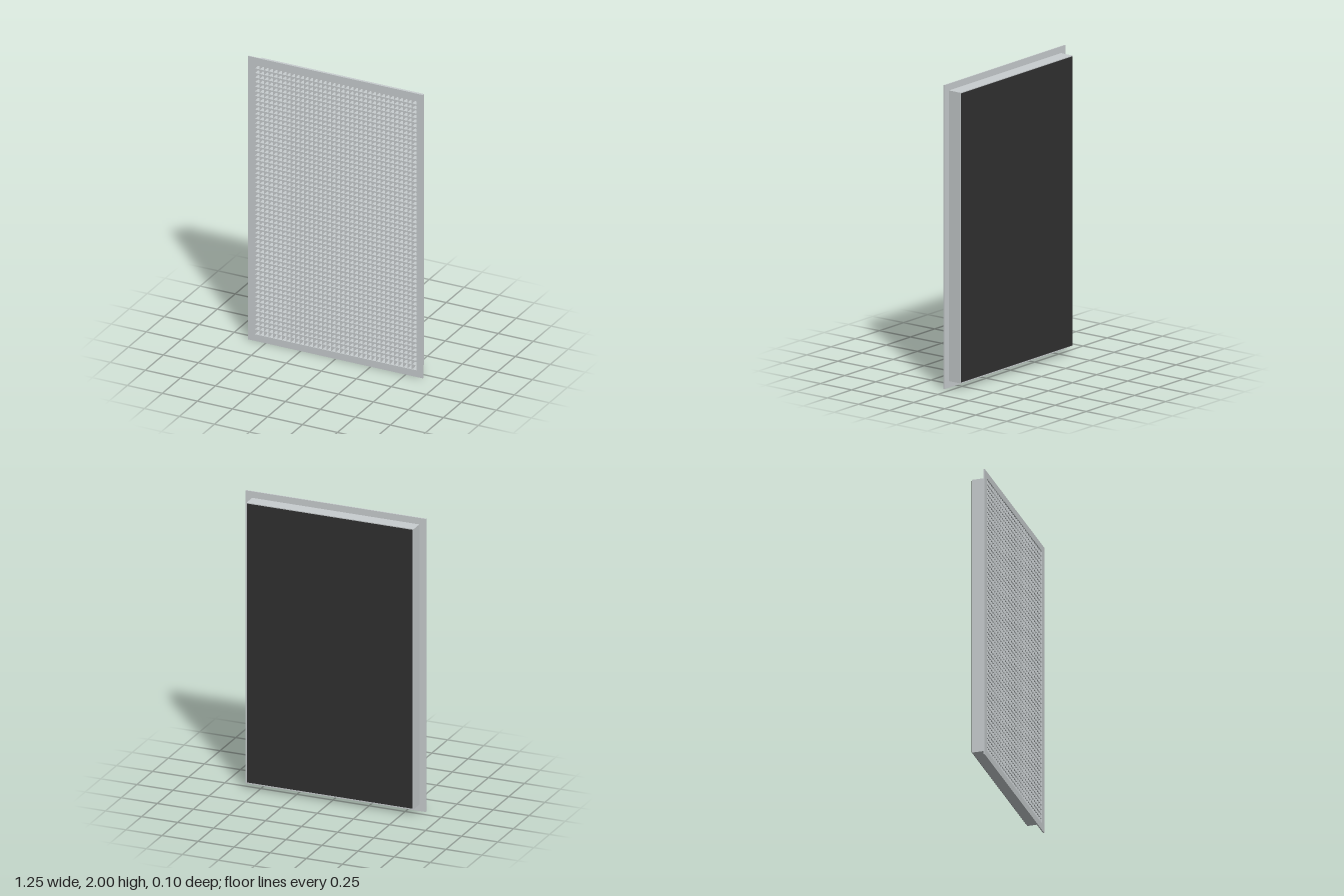
import * as THREE from 'three';

const metal = new THREE.MeshStandardMaterial({ color: 0xc8cdcf });
metal.name = 'light grey metal';
const black = new THREE.MeshStandardMaterial({ color: 0x303030 });
black.name = 'black backing';

// Rectangular ring extruded along z, centred on the panel
function ring(name, w, h, innerW, innerH, z0, z1) {
  const rect = (Type, a, b) => new Type([
    new THREE.Vector2(-a / 2, -b / 2), new THREE.Vector2(a / 2, -b / 2),
    new THREE.Vector2(a / 2, b / 2), new THREE.Vector2(-a / 2, b / 2),
  ]);
  const shape = rect(THREE.Shape, w, h);
  shape.holes.push(rect(THREE.Path, innerW, innerH));
  const geo = new THREE.ExtrudeGeometry(shape, { depth: z1 - z0, bevelEnabled: false });
  geo.translate(0, 1, z0);
  const mesh = new THREE.Mesh(geo, metal);
  mesh.name = name;
  return mesh;
}

function box(name, size, pos, material) {
  const mesh = new THREE.Mesh(new THREE.BoxGeometry(...size), material);
  mesh.position.set(...pos);
  mesh.name = name;
  return mesh;
}

export function createModel() {
  const model = new THREE.Group();
  model.name = 'eggCrateGrille';

  const W = 1.248, H = 2;             // flange
  const neckW = 1.158, neckH = 1.912; // duct neck
  const wall = 0.003;
  const inW = neckW - 2 * wall, inH = neckH - 2 * wall;

  // Front flange and the neck behind it
  model.add(ring('flange', W, H, inW, inH, 0.044, 0.0515));
  model.add(ring('neck', neckW, neckH, inW, inH, -0.0475, 0.044));

  // Metal plate closing the neck, with a dark sheet on its back
  model.add(box('backPlate', [inW, inH, 0.004], [0, 1, -0.0455], metal));
  model.add(box('backing', [1.146, 1.902, 0.003], [0, 1, -0.05], black));

  // Crossing thin blades
  const core = new THREE.Group();
  core.name = 'eggCrateCore';
  const cols = 36, rows = 59, t = 0.003, depth = 0.04, z = 0.029;
  for (let i = 1; i < cols; i++) {
    core.add(box('verticalBlade', [t, inH, depth], [inW * (i / cols - 0.5), 1, z], metal));
  }
  for (let j = 1; j < rows; j++) {
    core.add(box('horizontalBlade', [inW, t, depth], [0, 1 + inH * (j / rows - 0.5), z - 0.0002], metal));
  }
  model.add(core);
  return model;
}
